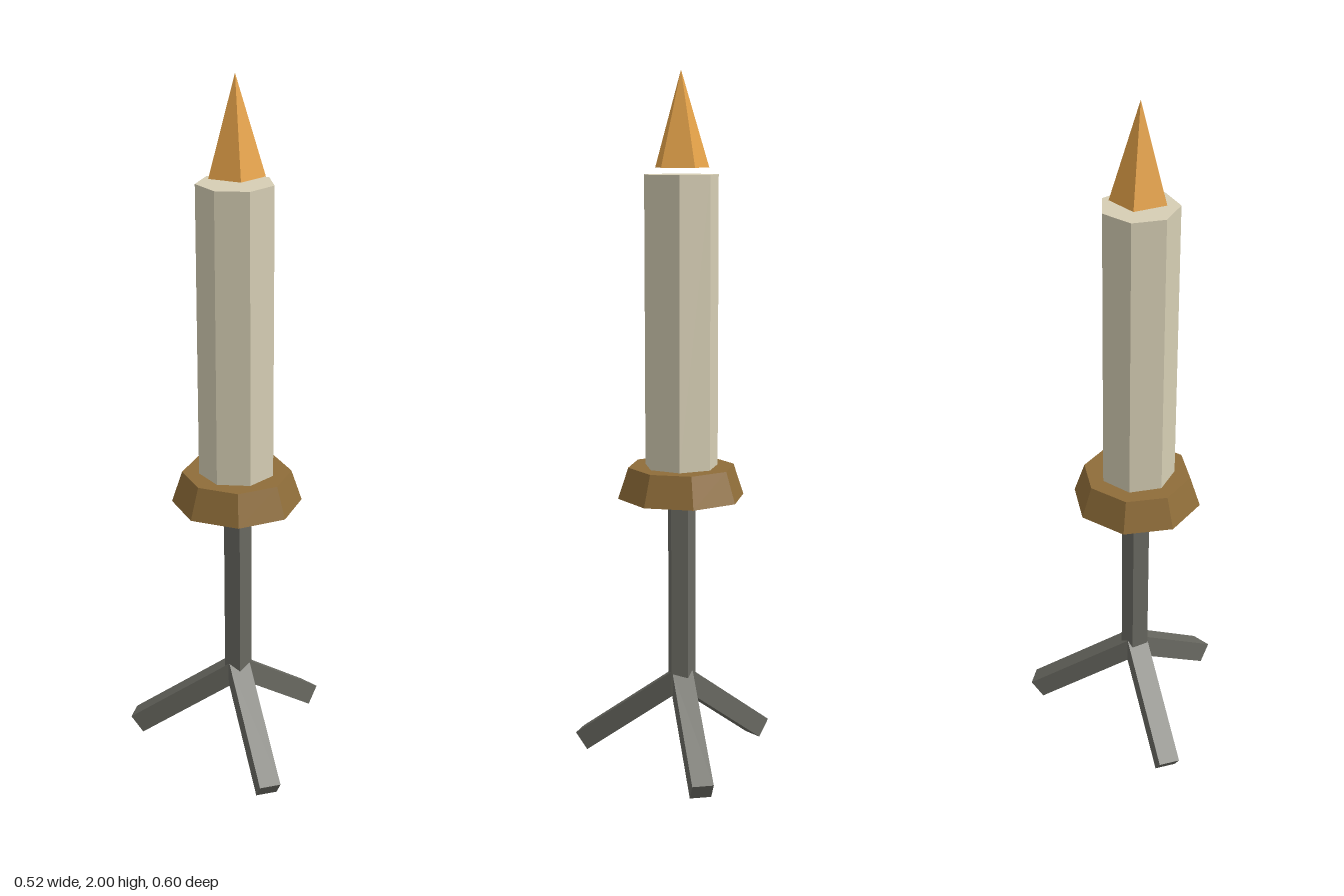
import * as THREE from 'three';

const mat = (name, color) => {
  const m = new THREE.MeshStandardMaterial({ color, flatShading: true });
  m.name = name;
  return m;
};

export function createModel() {
  const group = new THREE.Group();
  group.name = 'candleOnTripod';

  const iron = mat('dark iron', 0x6a6a62);
  const brass = mat('brass', 0x8f6d39);
  const wax = mat('wax', 0xd6ceb4);
  const fire = mat('flame orange', 0xe6a349);

  const axisX = -0.07; // the stand is off centre because one leg points to +x

  // Upright prism or cone between two heights, with one corner towards -z
  function prism(name, rTop, rBottom, y0, y1, sides, material) {
    const geo = new THREE.CylinderGeometry(rTop, rBottom, y1 - y0, sides, 1, false, Math.PI);
    const mesh = new THREE.Mesh(geo, material);
    mesh.name = name;
    mesh.position.set(axisX, (y0 + y1) / 2, 0);
    group.add(mesh);
  }

  prism('stem', 0.042, 0.042, 0.21, 0.8, 5, iron);
  prism('dripPan', 0.154, 0.184, 0.8, 0.89, 8, brass);
  prism('candle', 0.107, 0.107, 0.89, 1.716, 7, wax);
  prism('flame', 0, 0.08, 1.735, 2, 5, fire);

  // Three sloping square legs spread evenly around the stem
  const slope = 0.637, thick = 0.061;
  const reach = 0.309, length = reach / Math.cos(slope);
  const footY = (thick / 2) * Math.cos(slope);
  for (let i = 0; i < 3; i++) {
    const geo = new THREE.BoxGeometry(length, thick, thick);
    geo.rotateZ(-slope);
    geo.translate(reach / 2, footY + (reach / 2) * Math.tan(slope), 0);
    const leg = new THREE.Mesh(geo, iron);
    leg.name = 'leg' + (i + 1);
    leg.position.x = axisX;
    leg.rotation.y = (i * Math.PI * 2) / 3;
    group.add(leg);
  }

  return group;
}
